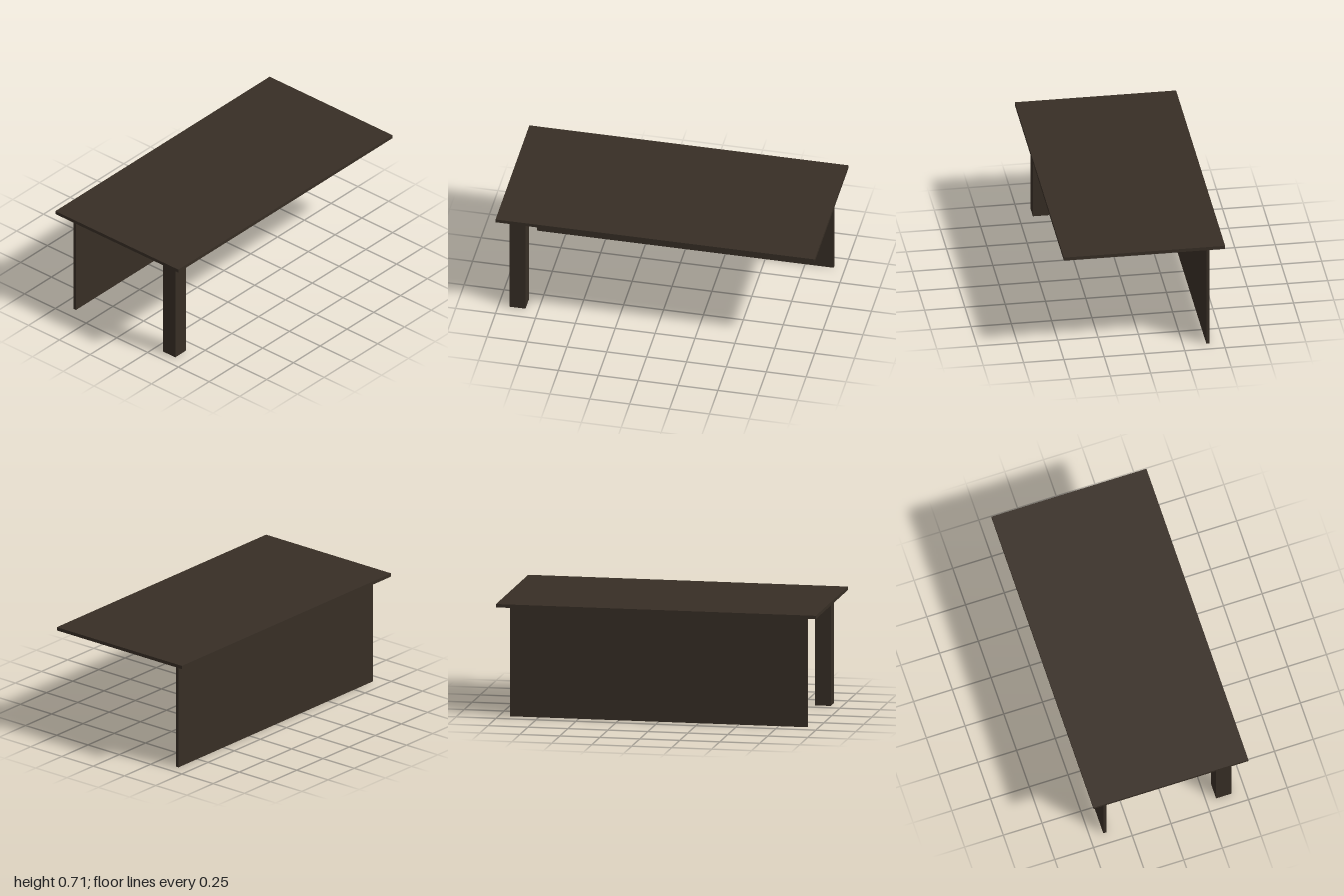
import * as THREE from 'three';

export function createModel() {
  const model = new THREE.Group();
  model.name = 'table';
  const darkWood = new THREE.MeshStandardMaterial({ color: 0x372e25 });
  darkWood.name = 'darkWood';

  const height = 0.713, thickness = 0.021;
  const legHeight = height - thickness;

  // Box given by its size and the position of its base centre
  function addBoard(name, [w, h, d], [x, y, z]) {
    const geometry = new THREE.BoxGeometry(w, h, d).translate(0, h / 2, 0);
    const mesh = new THREE.Mesh(geometry, darkWood);
    mesh.name = name;
    mesh.position.set(x, y, z);
    model.add(mesh);
  }

  // Thin top, full-length side panel and a single square corner leg
  addBoard('tableTop', [1.0, thickness, 2.0], [0, legHeight, 0]);
  addBoard('sidePanel', [0.02, legHeight, 1.86], [-0.404, 0, 0]);
  addBoard('cornerLeg', [0.1, legHeight, 0.1], [0.364, 0, 0.88]);

  return model;
}
